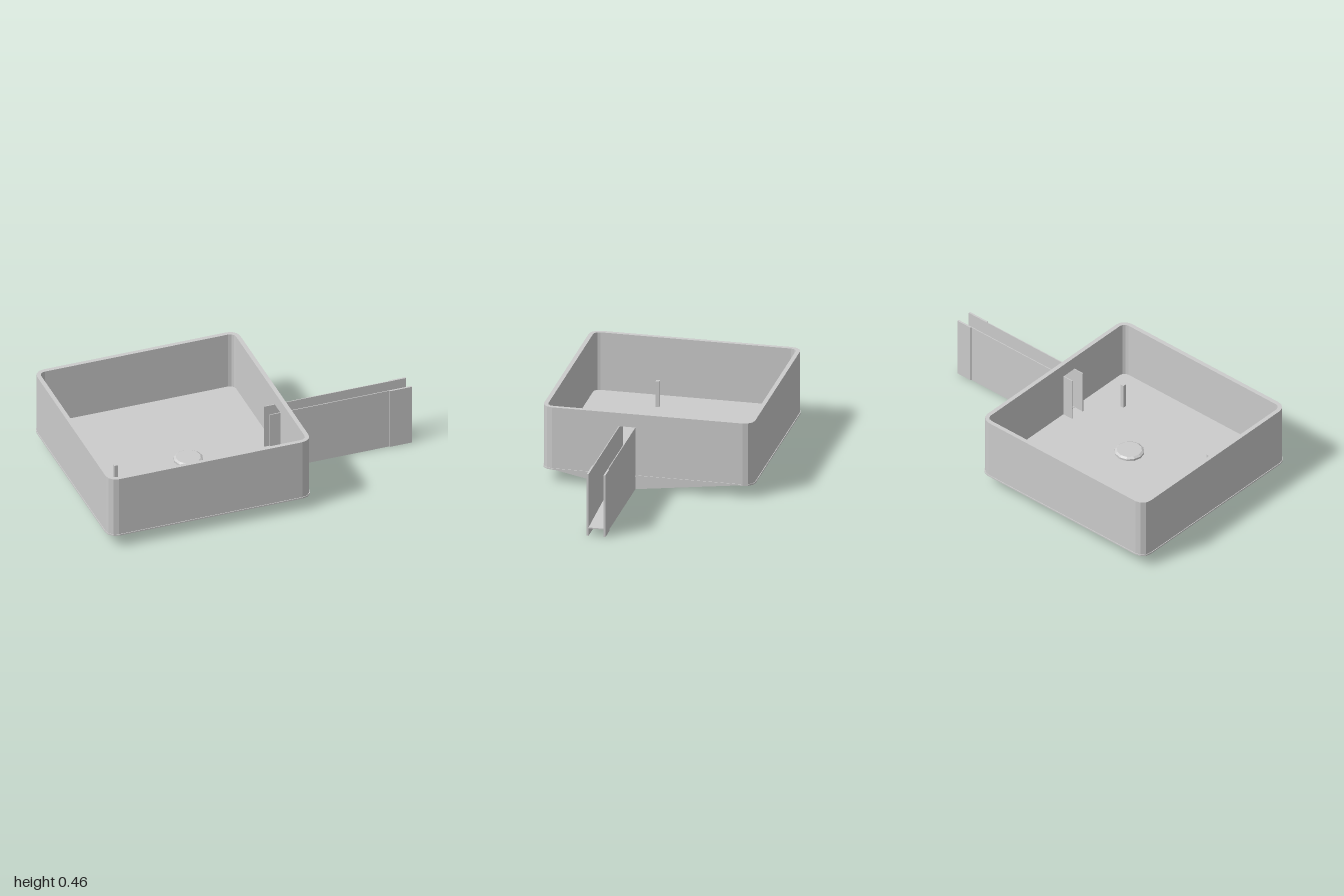
import * as THREE from 'three';

const material = new THREE.MeshStandardMaterial({ color: 0xcccccc, side: THREE.DoubleSide });

const CX = -0.385, HALF = 0.615, WALL = 0.025;   // tray centre, half width, wall thickness
const GAP_BACK = 0.07, GAP_FRONT = 0.165;        // spout opening in z
const TOP = 0.455, SPOUT_TOP = 0.375, BASE = 0.08;

// Rounded square in (x, z), starting and ending on the +x side at the given z values
function outline(inset, startZ = 0, endZ = 0, gap = false) {
  const h = HALF - inset, r = Math.max(0.06 - inset, 0.03), steps = 3, pts = [];
  if (gap) pts.push(new THREE.Vector2(CX + h, startZ));
  const corners = [[1, 1], [-1, 1], [-1, -1], [1, -1]];
  corners.forEach(([sx, sz], i) => {
    for (let k = 0; k <= steps; k++) {
      const a = (i + k / steps) * Math.PI / 2;
      pts.push(new THREE.Vector2(CX + sx * (h - r) + r * Math.cos(a), sz * (h - r) + r * Math.sin(a)));
    }
  });
  if (gap) pts.push(new THREE.Vector2(CX + h, endZ));
  return pts;
}

// Extrude an (x, z) shape vertically between two heights
function slab(shape, y0, y1) {
  const g = new THREE.ExtrudeGeometry(shape, { depth: y1 - y0, bevelEnabled: false });
  return g.rotateX(Math.PI / 2).translate(0, y1, 0);
}

function ring(outer, inner) {
  const shape = new THREE.Shape(outline(outer));
  shape.holes.push(new THREE.Path(outline(inner)));
  return shape;
}

export function createModel() {
  const group = new THREE.Group();
  const add = (name, geometry, parent = group) => {
    const mesh = new THREE.Mesh(geometry, material);
    mesh.name = name;
    parent.add(mesh);
    return mesh;
  };
  const box = (name, x0, x1, y0, y1, z0, z1, parent) =>
    add(name, new THREE.BoxGeometry(x1 - x0, y1 - y0, z1 - z0)
      .translate((x0 + x1) / 2, (y0 + y1) / 2, (z0 + z1) / 2), parent);

  // Tray: closed upper wall, lower wall open at the spout, base lip and raised floor
  const tray = new THREE.Group();
  tray.name = 'tray';
  group.add(tray);
  const openWall = new THREE.Shape([
    ...outline(0, GAP_FRONT, GAP_BACK, true),
    ...outline(WALL, GAP_FRONT, GAP_BACK, true).reverse(),
  ]);
  add('upperWall', slab(ring(0, WALL), SPOUT_TOP, TOP), tray);
  add('lowerWall', slab(openWall, BASE, SPOUT_TOP), tray);
  add('baseLip', slab(ring(-0.004, WALL), BASE - 0.003, BASE + 0.005), tray);
  add('floor', slab(new THREE.Shape(outline(WALL - 0.002)), 0.095, 0.105), tray);

  // Drain cover: a low stepped disc
  const drain = new THREE.LatheGeometry([
    [0.085, 0.105], [0.085, 0.117], [0.072, 0.125], [0, 0.125],
  ].map(([r, y]) => new THREE.Vector2(r, y)), 12).toNonIndexed();
  drain.computeVertexNormals();
  add('drainCover', drain.translate(-0.31, 0, 0.05));

  // Small square posts standing on the floor
  for (const [x, z] of [[-0.8, 0.18], [0, 0.35]])
    box('post', x - 0.011, x + 0.011, 0.094, 0.26, z - 0.011, z + 0.011);

  // Triangular skirts dropping from the wall to the spout
  for (const [far, near] of [[0.56, GAP_FRONT], [-0.56, GAP_BACK]]) {
    const tri = new THREE.Shape([
      new THREE.Vector2(-far, BASE), new THREE.Vector2(-near, 0), new THREE.Vector2(-near, BASE),
    ]);
    const g = new THREE.ExtrudeGeometry(tri, { depth: WALL, bevelEnabled: false });
    add('skirt', g.rotateY(Math.PI / 2).translate(CX + HALF - WALL, 0, 0));
  }

  // Spout: two side plates, end plates outside them and a sloping floor
  const spout = new THREE.Group();
  spout.name = 'spout';
  group.add(spout);
  box('backPlate', 0.14, 1, 0, SPOUT_TOP, GAP_BACK - 0.001, GAP_BACK + 0.004, spout);
  box('frontPlate', 0.14, 1, 0, SPOUT_TOP, GAP_FRONT - 0.004, GAP_FRONT + 0.001, spout);
  box('backEndPlate', 0.9, 1, 0, SPOUT_TOP, 0.063, GAP_BACK, spout);
  box('frontEndPlate', 0.865, 1, 0, SPOUT_TOP, GAP_FRONT, 0.172, spout);
  const ramp = new THREE.Shape([[0.2, 0.102], [1, 0.045], [1, 0.051], [0.2, 0.108]]
    .map(([x, y]) => new THREE.Vector2(x, y)));
  add('spoutFloor', new THREE.ExtrudeGeometry(ramp, { depth: GAP_FRONT - GAP_BACK, bevelEnabled: false })
    .translate(0, 0, GAP_BACK), spout);

  return group;
}
